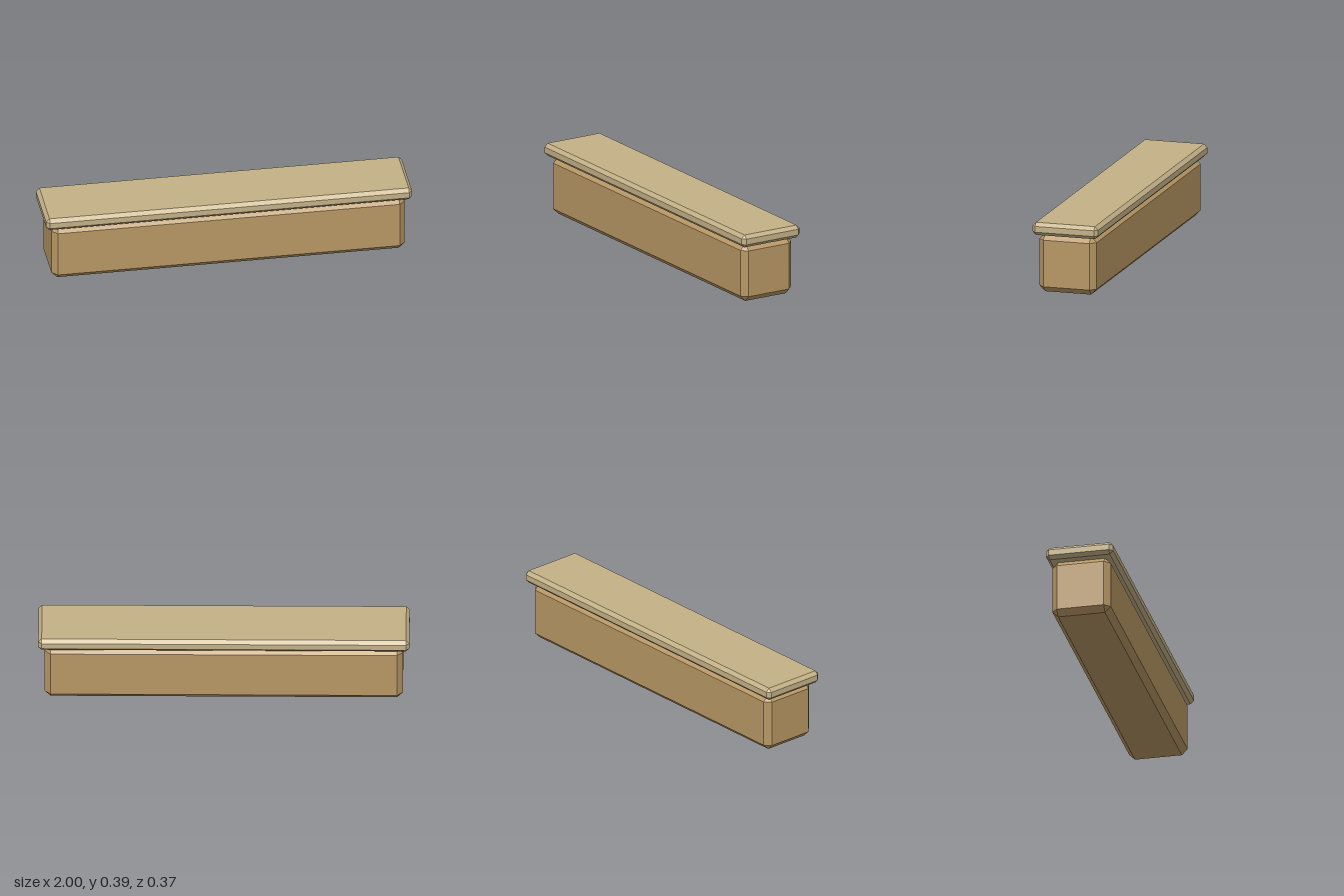
import * as THREE from 'three';
import { ConvexGeometry } from 'three/addons/geometries/ConvexGeometry.js';

// Box with flat chamfers along all edges and triangular corners
function chamferedBox(width, height, depth, c) {
  const [x, y, z] = [width / 2, height / 2, depth / 2];
  const points = [];
  for (const sx of [-1, 1]) for (const sy of [-1, 1]) for (const sz of [-1, 1]) {
    points.push(
      new THREE.Vector3(sx * x, sy * (y - c), sz * (z - c)),
      new THREE.Vector3(sx * (x - c), sy * y, sz * (z - c)),
      new THREE.Vector3(sx * (x - c), sy * (y - c), sz * z)
    );
  }
  return new ConvexGeometry(points);
}

export function createModel() {
  const group = new THREE.Group();
  group.name = 'counter';

  const bodyMaterial = new THREE.MeshStandardMaterial({ color: 0xb89764 });
  bodyMaterial.name = 'warm wood';
  const topMaterial = new THREE.MeshStandardMaterial({ color: 0xc4b187 });
  topMaterial.name = 'pale wood';

  const addPart = (name, material, size, bottom, chamfer) => {
    const mesh = new THREE.Mesh(chamferedBox(...size, chamfer), material);
    mesh.name = name;
    mesh.position.y = bottom + size[1] / 2;
    group.add(mesh);
  };

  // Solid body and the overhanging slab on it
  addPart('body', bodyMaterial, [1.93, 0.322, 0.323], 0, 0.032);
  addPart('topSlab', topMaterial, [2, 0.07, 0.37], 0.321, 0.019);

  return group;
}
